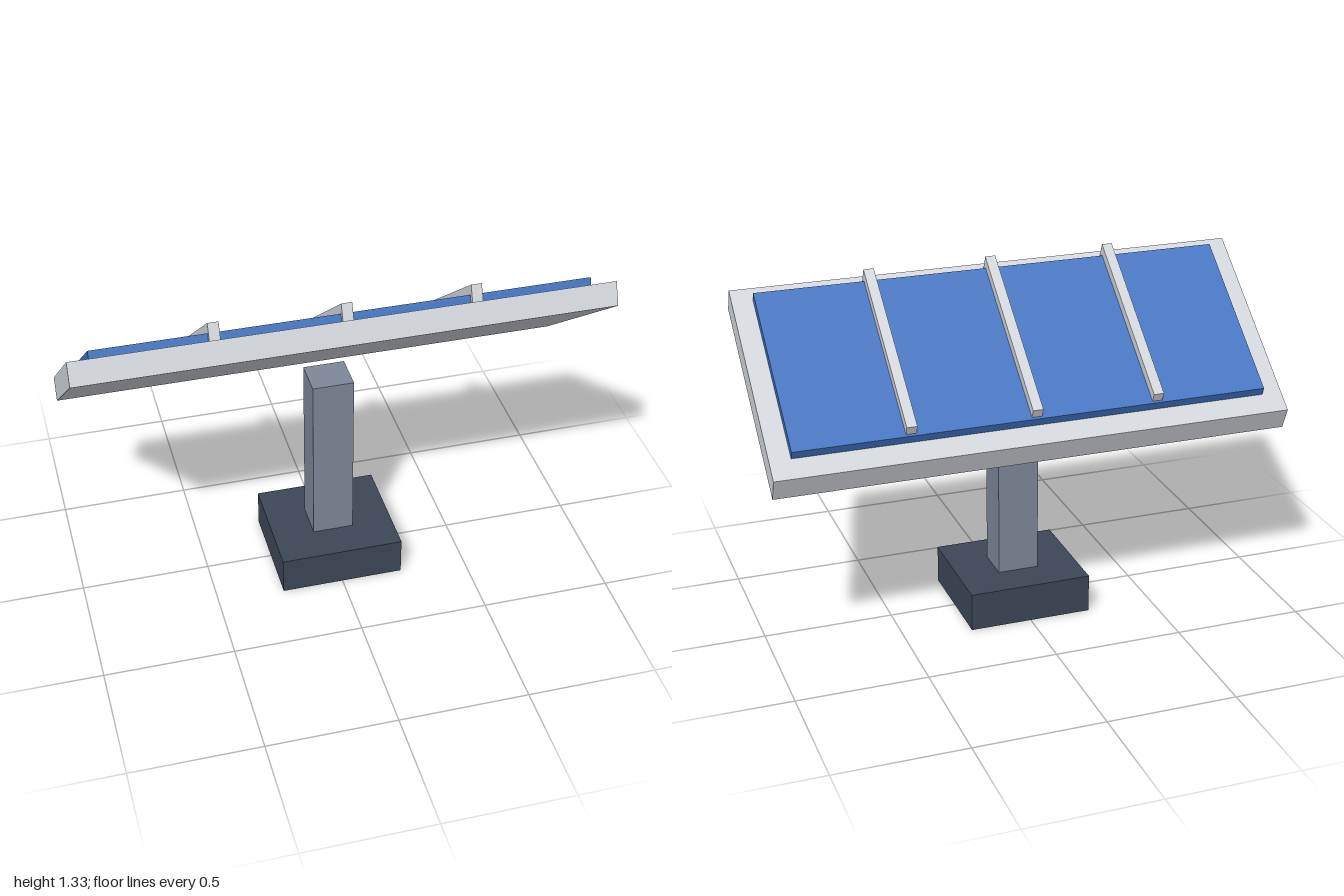
import * as THREE from 'three';

const mat = (name, color) => {
  const m = new THREE.MeshStandardMaterial({ color });
  m.name = name;
  return m;
};

export function createModel() {
  const baseMat = mat('dark slate', 0x3d4757);
  const postMat = mat('steel grey', 0x7e8898);
  const frameMat = mat('light grey', 0xd1d5da);
  const glassMat = mat('panel blue', 0x3f72c0);

  const model = new THREE.Group();
  model.name = 'solarPanel';

  const box = (parent, name, material, [w, h, d], [x, y, z]) => {
    const mesh = new THREE.Mesh(new THREE.BoxGeometry(w, h, d), material);
    mesh.name = name;
    mesh.position.set(x, y, z);
    parent.add(mesh);
  };

  // Stand
  box(model, 'base', baseMat, [0.48, 0.15, 0.437], [0, 0.075, 0]);
  box(model, 'post', postMat, [0.16, 0.7, 0.146], [0, 0.5, 0]);

  // Tilted panel: the outer group stretches the tilt, so its ends lean slightly
  const stretch = new THREE.Group();
  stretch.name = 'panelMount';
  stretch.position.y = 0.998;
  stretch.scale.set(1, 1.25, 0.91);
  model.add(stretch);

  const panel = new THREE.Group();
  panel.name = 'panel';
  panel.rotation.x = -Math.PI / 6;
  stretch.add(panel);

  box(panel, 'frame', frameMat, [2, 0.0776, 0.803], [0, 0, 0]);
  box(panel, 'glass', glassMat, [1.84, 0.036, 0.672], [0, 0.048, 0.015]);

  // Divider bars across the glass
  for (const x of [-0.48, 0, 0.48]) {
    box(panel, 'dividerBar', frameMat, [0.04, 0.055, 0.684], [x, 0.0678, 0.0303]);
  }
  return model;
}
